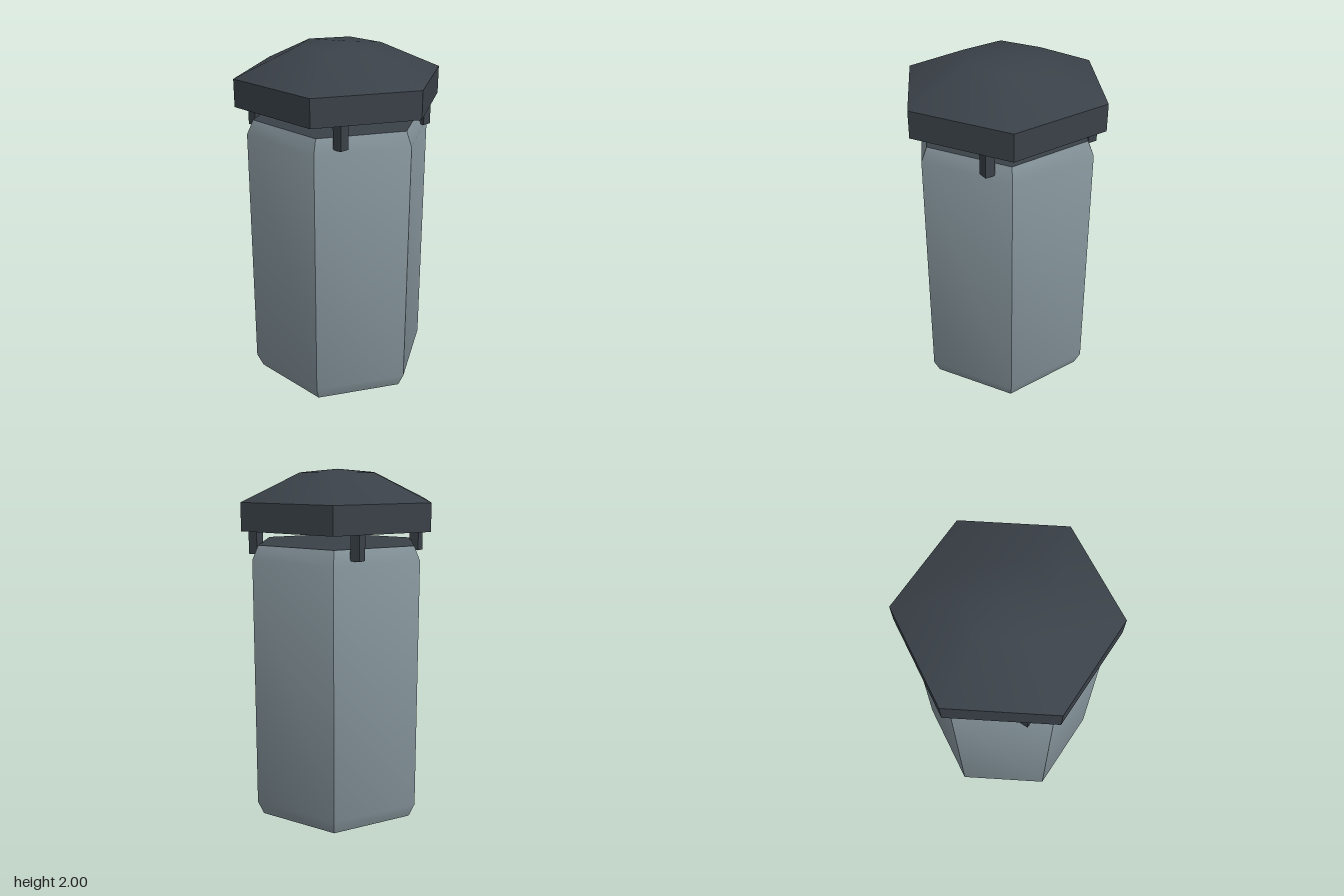
import * as THREE from 'three';
import { toCreasedNormals } from 'three/addons/utils/BufferGeometryUtils.js';

const shellGrey = new THREE.MeshStandardMaterial({ color: 0x84939a });
shellGrey.name = 'shellGrey';
const charcoal = new THREE.MeshStandardMaterial({ color: 0x3a4148 });
charcoal.name = 'charcoal';

// Six-sided solid from a [radius, height] profile, with corners on the x axis
function hexLathe(profile) {
  const points = profile.map(([r, y]) => new THREE.Vector2(r, y));
  return toCreasedNormals(new THREE.LatheGeometry(points, 6, Math.PI / 6), 0.7);
}

export function createModel() {
  const model = new THREE.Group();
  model.name = 'hexagonalBin';

  function add(name, geometry, material, x = 0, y = 0, z = 0) {
    const mesh = new THREE.Mesh(geometry, material);
    mesh.name = name;
    mesh.position.set(x, y, z);
    model.add(mesh);
    return mesh;
  }

  // Body walls with softly shaded chamfers at both ends
  add('body', hexLathe([[0.495, 0], [0.532, 0.08], [0.532, 1.51], [0.495, 1.59]]), shellGrey);

  // Dark hexagonal end faces
  const end = new THREE.CircleGeometry(0.495, 6);
  add('bodyTop', end, charcoal, 0, 1.59, 0).rotation.x = -Math.PI / 2;
  add('bodyBottom', end, charcoal, 0, 0, 0).rotation.x = Math.PI / 2;

  // Overhanging lid with a straight rim and a shallow domed top
  add('lid', hexLathe([[0, 1.67], [0.593, 1.67], [0.593, 1.825], [0.24, 1.98], [0, 2]]), charcoal);

  // Four struts holding the lid above the body
  const strut = new THREE.BoxGeometry(0.057, 0.16, 0.057);
  for (const x of [-0.336, 0.336]) {
    for (const z of [-0.336, 0.336]) add('strut', strut, charcoal, x, 1.61, z);
  }

  return model;
}
